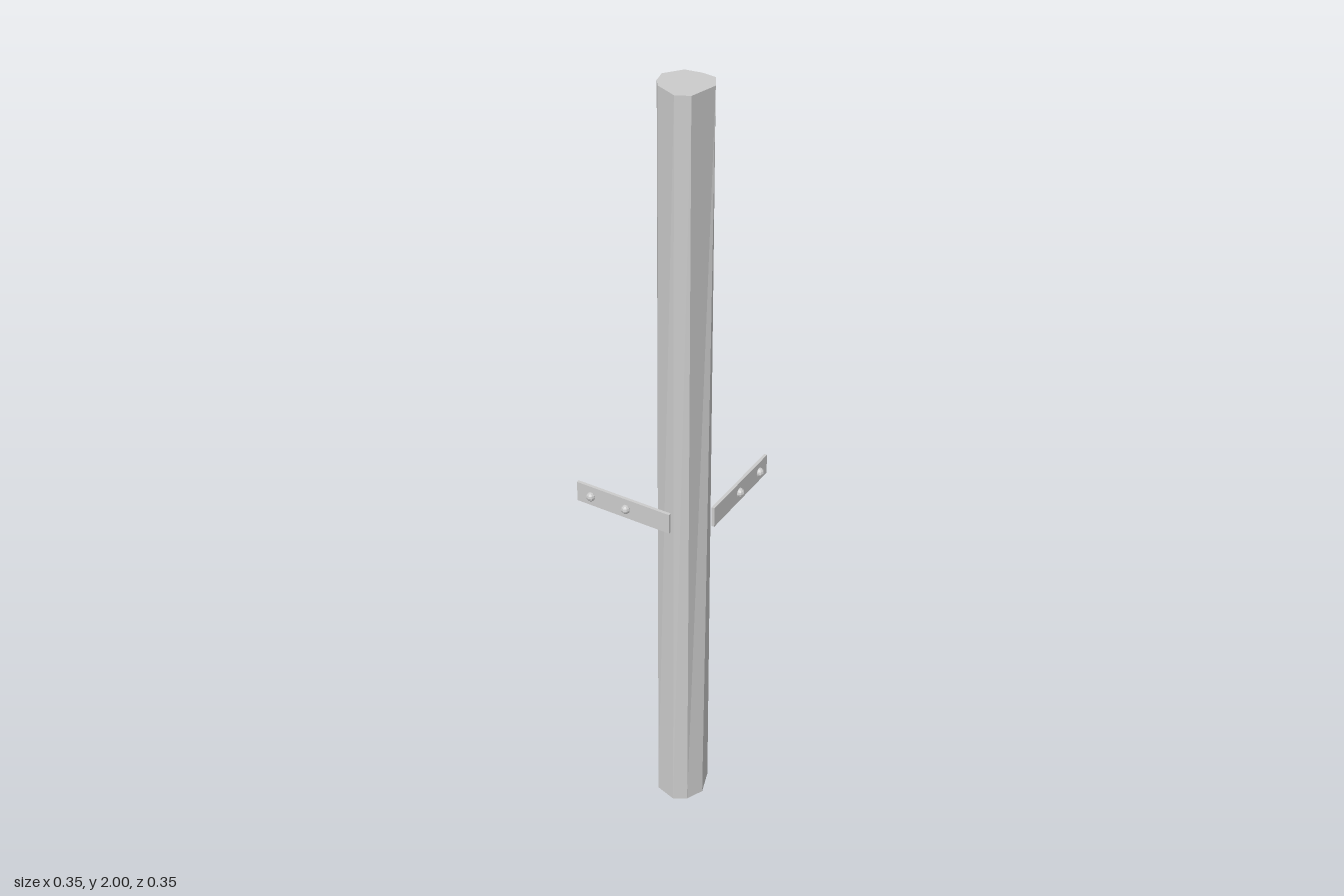
import * as THREE from 'three';

const grey = new THREE.MeshStandardMaterial({ color: 0xcccccc, flatShading: true });

// Irregular hewn outlines of the post as [x, z], counter-clockwise seen from below
const topRing = [[0.02, 0.103], [0.037, 0.127], [0.092, 0.154], [0.124, 0.139], [0.139, 0.067],
  [0.116, 0.027], [0.08, 0.021], [0.04, 0.025], [0.01, 0.067]];
const bottomRing = [[0.01, 0.1], [0.036, 0.143], [0.092, 0.158], [0.124, 0.138], [0.145, 0.094],
  [0.124, 0.03], [0.08, 0.022], [0.042, 0.028], [0.013, 0.067]];

// Loft between the two outlines, with flat caps
function postGeometry() {
  const n = topRing.length;
  const pos = [];
  const lo = (i) => [bottomRing[i % n][0], 0, bottomRing[i % n][1]];
  const hi = (i) => [topRing[i % n][0], 2, topRing[i % n][1]];
  const tri = (a, b, c) => pos.push(...a, ...b, ...c);
  for (let i = 0; i < n; i++) {
    tri(lo(i), lo(i + 1), hi(i + 1));
    tri(lo(i), hi(i + 1), hi(i));
    tri([0.078, 2, 0.085], hi(i), hi(i + 1));
    tri([0.078, 0, 0.085], lo(i + 1), lo(i));
  }
  const geometry = new THREE.BufferGeometry();
  geometry.setAttribute('position', new THREE.Float32BufferAttribute(pos, 3));
  geometry.computeVertexNormals();
  return geometry;
}

// Flat strap along x with two bolts set through it
function makeBracket(name) {
  const bracket = new THREE.Group();
  bracket.name = name;
  const strap = new THREE.Mesh(new THREE.BoxGeometry(0.262, 0.055, 0.008), grey);
  strap.name = 'strap';
  strap.position.set(-0.048, 0.923, 0.158);
  bracket.add(strap);
  for (const x of [-0.138, -0.038]) {
    const bolt = new THREE.Mesh(new THREE.SphereGeometry(0.012, 8, 6), grey);
    bolt.name = 'bolt';
    bolt.position.set(x, 0.923, 0.164);
    bracket.add(bolt);
  }
  return bracket;
}

export function createModel() {
  const model = new THREE.Group();
  model.name = 'cornerPost';

  const post = new THREE.Mesh(postGeometry(), grey);
  post.name = 'post';
  model.add(post);

  model.add(makeBracket('frontBracket'));

  // The side bracket is the front one turned a quarter, reaching back along -z
  const side = makeBracket('sideBracket');
  side.rotation.y = Math.PI / 2;
  side.children.forEach((part) => { part.position.x *= -1; });
  model.add(side);

  return model;
}
